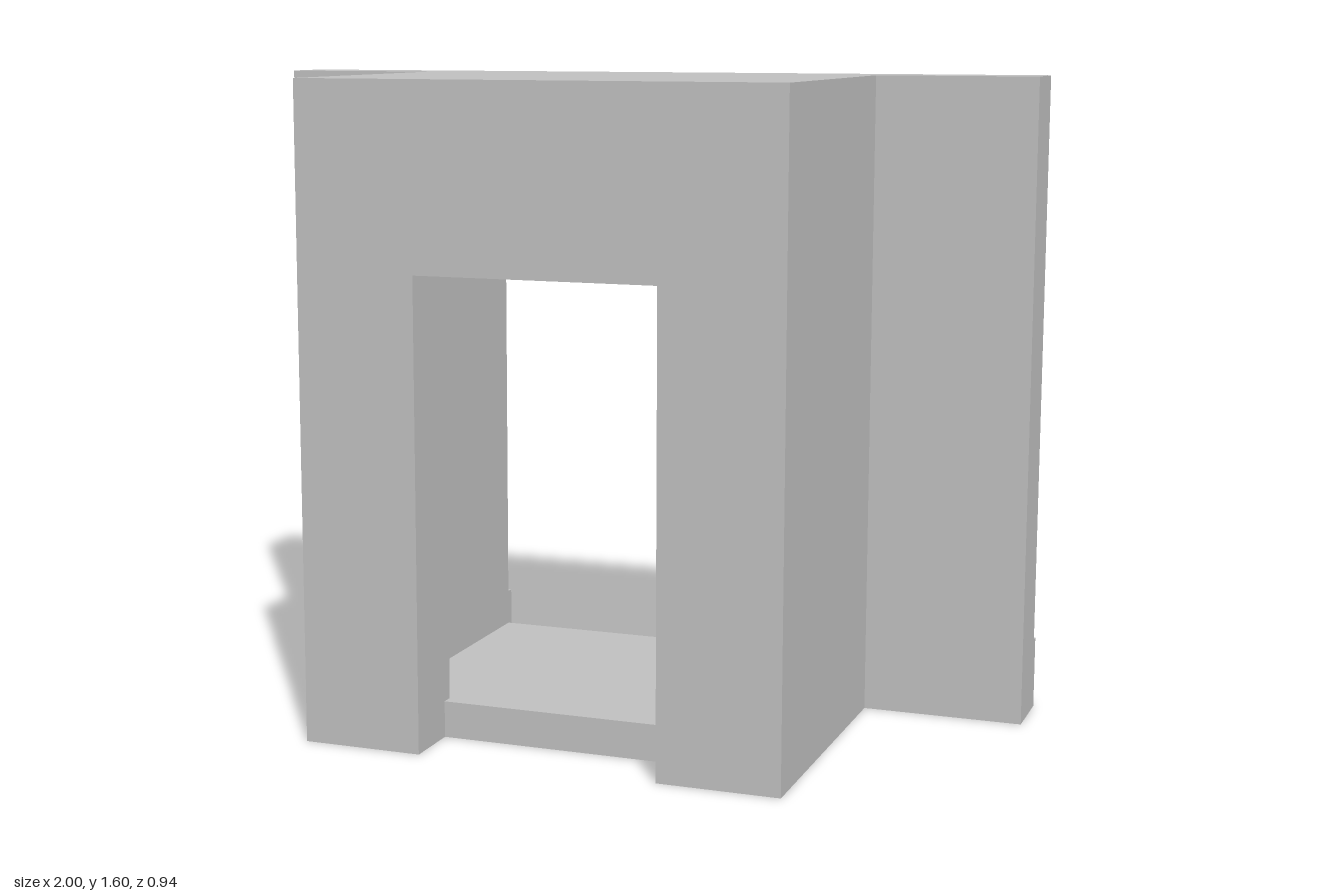
import * as THREE from 'three';

export function createModel() {
  const model = new THREE.Group();
  const plaster = new THREE.MeshStandardMaterial({ color: 0xbfbfbf });
  plaster.name = 'plain grey';

  const add = (name, geometry) => {
    const mesh = new THREE.Mesh(geometry, plaster);
    mesh.name = name;
    model.add(mesh);
  };

  // Box given by its limits on each axis
  const box = (name, [x0, x1], [y0, y1], [z0, z1]) => {
    const g = new THREE.BoxGeometry(x1 - x0, y1 - y0, z1 - z0);
    g.translate((x0 + x1) / 2, (y0 + y1) / 2, (z0 + z1) / 2);
    add(name, g);
  };

  // The same box on both sides of x = 0
  const pair = (name, [x0, x1], y, z) => {
    box(name + 'Left', [x0, x1], y, z);
    box(name + 'Right', [-x1, -x0], y, z);
  };

  // Wall with a doorway open down to the ground
  const doorWall = (name, half, doorHalf, doorTop, [z0, z1]) => {
    const outline = [
      [-half, 0], [-doorHalf, 0], [-doorHalf, doorTop], [doorHalf, doorTop],
      [doorHalf, 0], [half, 0], [half, 1.6], [-half, 1.6],
    ].map(([x, y]) => new THREE.Vector2(x, y));
    const g = new THREE.ExtrudeGeometry(new THREE.Shape(outline), { depth: z1 - z0, bevelEnabled: false });
    g.translate(0, 0, z0);
    add(name, g);
  };

  // Shell of the entrance porch
  doorWall('backWall', 1, 0.45, 1.3, [-0.43, -0.28]);
  doorWall('frontWall', 0.6, 0.3, 1.15, [0.32, 0.47]);
  pair('sideWall', [0.45, 0.6], [0, 1.6], [-0.28, 0.32]);
  box('roof', [-0.45, 0.45], [1.5, 1.6], [-0.28, 0.32]);
  box('floor', [-0.45, 0.45], [0, 0.09], [-0.43, 0.32]);

  // Trim on the back wall
  box('backLintel', [-0.55, 0.55], [1.3, 1.45], [-0.47, -0.43]);
  pair('baseboard', [0.45, 1], [0, 0.18], [-0.45, -0.43]);

  // Door frame on the inside of the front wall
  box('innerHeader', [-0.35, 0.35], [1.15, 1.22], [0.29, 0.32]);
  pair('innerJamb', [0.3, 0.32], [0.09, 1.15], [0.29, 0.32]);

  return model;
}
